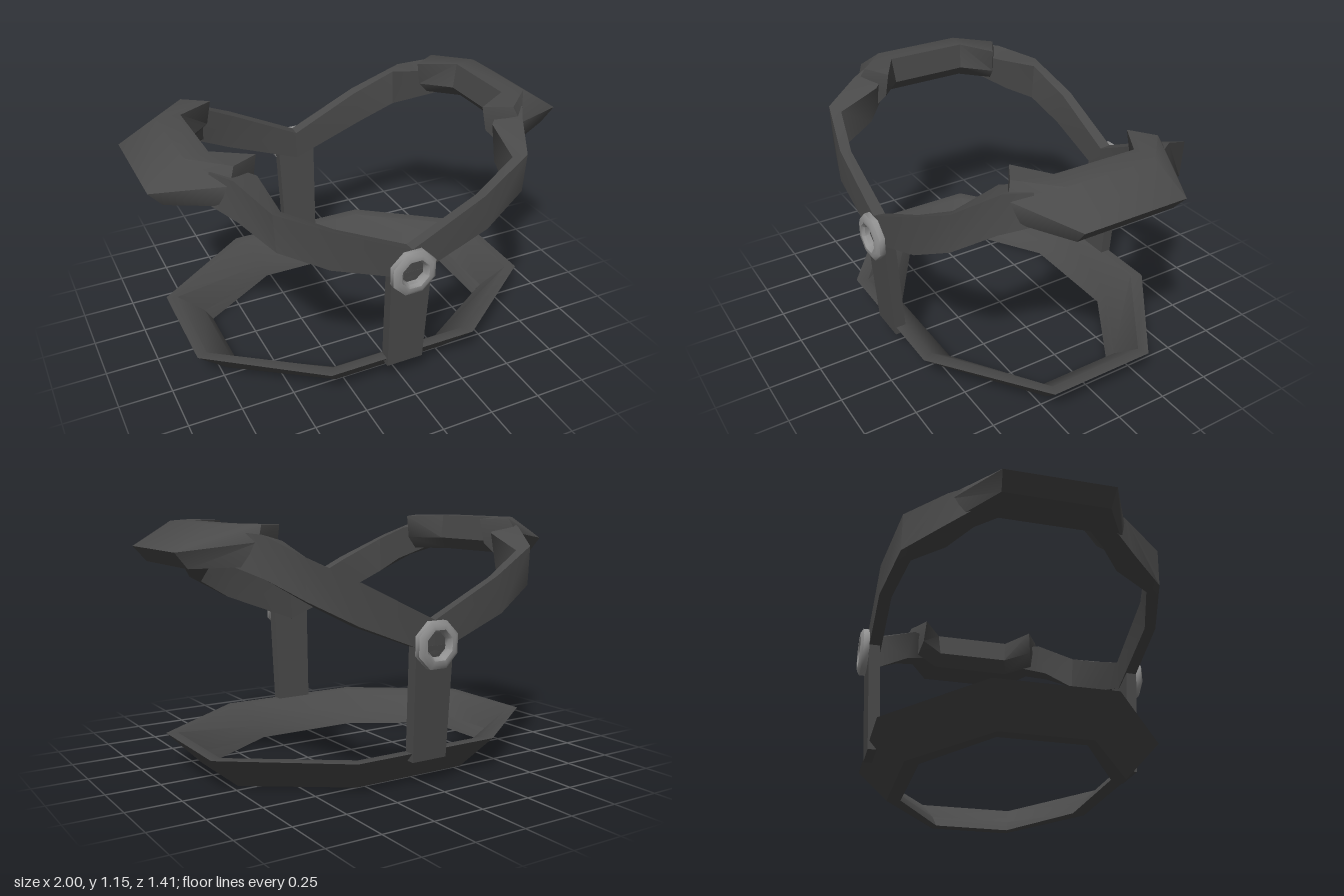
import * as THREE from 'three';
import { toCreasedNormals } from 'three/addons/utils/BufferGeometryUtils.js';

const dark = new THREE.MeshStandardMaterial({ color: 0x4a4a4a });
const light = new THREE.MeshStandardMaterial({ color: 0x929292 });

// Skins a list of cross-sections (equal-length loops of [x, y, z]), facing outward
function loft(sections, closed = false) {
  const n = sections[0].length, m = sections.length;
  const pts = sections.flat().map((p) => new THREE.Vector3(...p));
  const tris = [];
  for (let s = 0; s < (closed ? m : m - 1); s++) {
    for (let i = 0; i < n; i++) {
      const a = s * n + i, b = s * n + (i + 1) % n;
      const c = ((s + 1) % m) * n + (i + 1) % n, d = ((s + 1) % m) * n + i;
      tris.push([a, b, c], [a, c, d]);
    }
  }
  if (!closed) {
    const e = (m - 1) * n;
    for (let i = 1; i < n - 1; i++) tris.push([0, i + 1, i], [e, e + i, e + i + 1]);
  }
  // Signed volume decides the winding, so mirrored sections work too
  const volume = tris.reduce((v, [a, b, c]) => v + pts[a].dot(pts[b].clone().cross(pts[c])), 0);
  const index = tris.flatMap(([a, b, c]) => (volume < 0 ? [a, c, b] : [a, b, c]));
  const geo = new THREE.BufferGeometry().setFromPoints(pts);
  geo.setIndex(index);
  return toCreasedNormals(geo, 0.75);
}

function add(parent, name, geo, material = dark) {
  const mesh = new THREE.Mesh(geo, material);
  mesh.name = name;
  parent.add(mesh);
  return mesh;
}

const mirror = (sections, sx, sz) =>
  sections.map((s) => s.map(([x, y, z]) => [x * sx, y, z * sz]));

// Flared octagonal base: each profile point gives side x, its corner z, end z's corner x, end z, height
const baseProfile = [
  [0.66, 0.19, 0.27, 0.435, 0],
  [0.72, 0.2, 0.29, 0.5, 0],
  [0.87, 0.26, 0.37, 0.635, 0.155],
  [0.82, 0.24, 0.34, 0.585, 0.155],
  [0.695, 0.205, 0.285, 0.475, 0.055],
];
function baseSections() {
  const corner = [
    (a, b) => [a, -b], (a, b) => [a, b], (a, b, c, d) => [c, d], (a, b, c, d) => [-c, d],
    (a, b) => [-a, b], (a, b) => [-a, -b], (a, b, c, d) => [-c, -d], (a, b, c, d) => [c, -d],
  ];
  return corner.map((f) => baseProfile.map(([a, b, c, d, y]) => {
    const [x, z] = f(a, b, c, d);
    return [x, y, z];
  }));
}

// Post: a thin plate leaning outward, slightly wider at the top
const plate = (w, y, z0, z1) => [[-w, y, z0], [w, y, z0], [w, y, z1], [-w, y, z1]];
const post = [plate(0.09, 0.115, 0.585, 0.64), plate(0.1, 0.63, 0.615, 0.668)];

// Arm: outer bottom, outer top, inner top, inner bottom, from pivot to handle
const arm = [
  [[0, 0.59, 0.667], [0, 0.74, 0.667], [0, 0.735, 0.61], [0, 0.59, 0.61]],
  [[0.38, 0.74, 0.66], [0.35, 0.91, 0.66], [0.34, 0.9, 0.61], [0.38, 0.735, 0.605]],
  [[0.59, 0.85, 0.6], [0.6, 1.03, 0.6], [0.55, 1.01, 0.56], [0.55, 0.83, 0.55]],
  [[0.69, 0.93, 0.44], [0.69, 1.11, 0.42], [0.57, 1.08, 0.36], [0.57, 0.91, 0.4]],
  [[0.78, 0.98, 0.32], [0.76, 1.12, 0.32], [0.66, 1.1, 0.27], [0.68, 0.98, 0.28]],
];

// Handle: outer tip, top outer, top inner, inner, bottom inner, bottom outer
const handleEnd = [[0.7, 1.08, 0.4], [0.67, 1.15, 0.37], [0.55, 1.145, 0.3],
  [0.57, 1.03, 0.31], [0.63, 0.97, 0.33], [0.69, 0.98, 0.39]];
const handleBend = [[1, 1.04, 0.25], [0.83, 1.15, 0.22], [0.72, 1.15, 0.2],
  [0.7, 1.03, 0.19], [0.76, 0.97, 0.21], [0.94, 0.97, 0.24]];
const handle = [handleEnd, handleBend,
  ...mirror([handleBend, handleEnd], 1, -1)];

// Pivot ring: octagonal ring with bevelled edges
function ringGeometry() {
  const profile = [[0.06, 0], [0.112, 0], [0.112, 0.028], [0.092, 0.04], [0.072, 0.04], [0.06, 0.026], [0.06, 0]]
    .map(([r, h]) => new THREE.Vector2(r, h));
  const geo = new THREE.LatheGeometry(profile, 8, Math.PI / 8);
  geo.rotateX(Math.PI / 2);
  return toCreasedNormals(geo, 0.85);
}

export function createModel() {
  const model = new THREE.Group();
  model.name = 'cradleStand';
  add(model, 'baseRing', loft(baseSections(), true));

  for (const [sz, end] of [[1, 'front'], [-1, 'back']]) {
    add(model, end + 'Post', loft(mirror(post, 1, sz)));
    const ring = add(model, end + 'PivotRing', ringGeometry(), light);
    ring.position.set(0, 0.635, 0.665 * sz);
    if (sz < 0) ring.rotation.y = Math.PI;
    for (const [sx, side] of [[1, 'Left'], [-1, 'Right']]) {
      add(model, end + side + 'Arm', loft(mirror(arm, sx, sz)));
    }
  }
  add(model, 'leftHandle', loft(handle));
  add(model, 'rightHandle', loft(mirror(handle, -1, 1)));
  return model;
}
